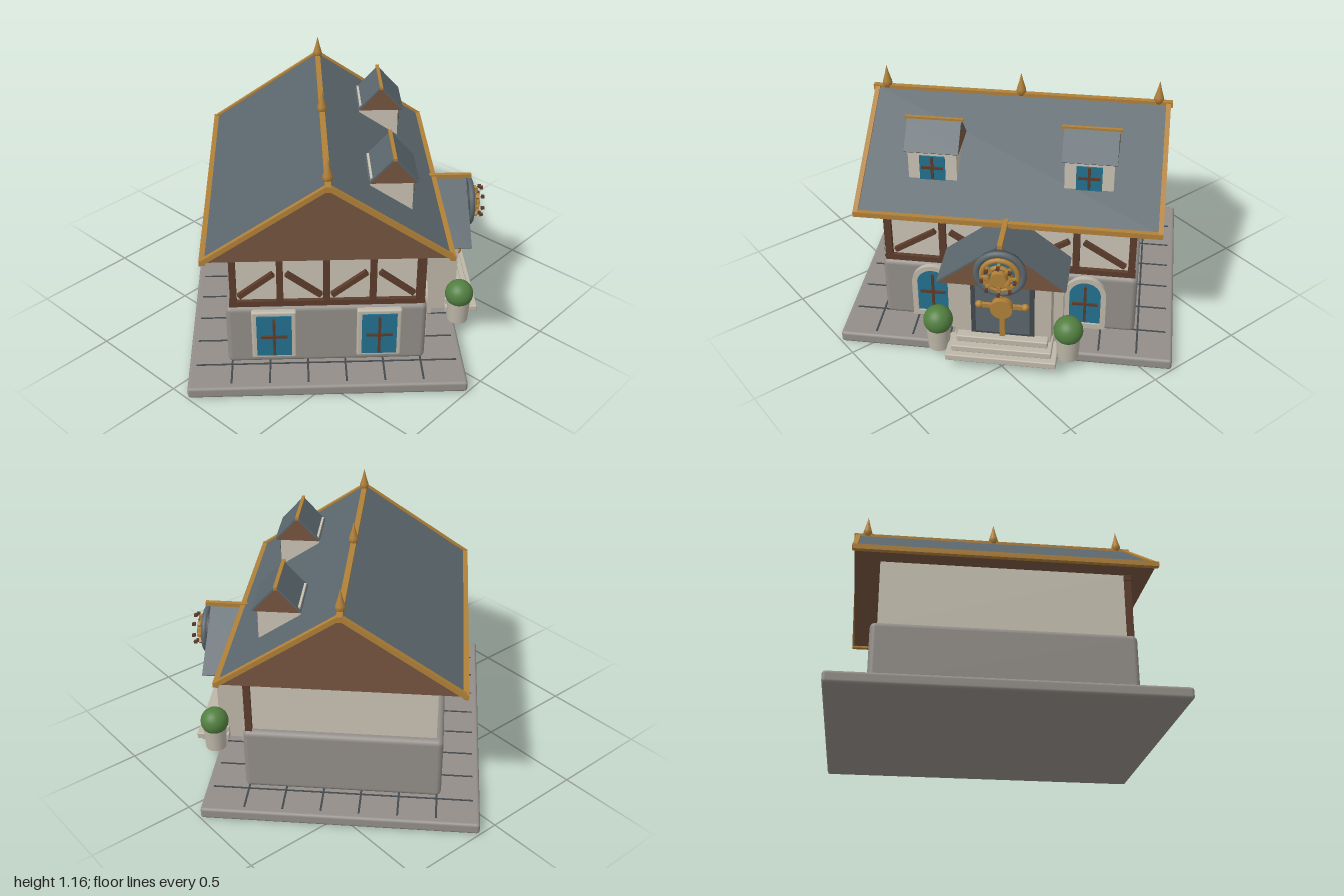
import * as THREE from 'three';
import { RoundedBoxGeometry } from 'three/addons/geometries/RoundedBoxGeometry.js';

const mat = (name, color) => {
  const m = new THREE.MeshStandardMaterial({ color });
  m.name = name;
  return m;
};

export function createModel() {
  const stone = mat('grey stone', 0x928d88), plaster = mat('plaster', 0xc8c2b2), trim = mat('light stone', 0xbdb6a8);
  const timber = mat('dark timber', 0x5c3c2c), brown = mat('gable brown', 0x75543f), slate = mat('roof slate', 0x5a666c);
  const gold = mat('gold', 0xb08038), glass = mat('blue glass', 0x24708f), green = mat('leaf green', 0x527f40);
  const dark = mat('dark slate', 0x41484c);

  const model = new THREE.Group();
  model.name = 'cottage';
  const house = new THREE.Group();
  house.name = 'house';
  house.rotation.y = Math.PI / 4; // the house stands diagonally
  model.add(house);

  const add = (name, geo, m, x = 0, y = 0, z = 0, parent = house) => {
    const o = new THREE.Mesh(geo, m);
    o.name = name;
    o.position.set(x, y, z);
    parent.add(o);
    return o;
  };
  const group = (name, x, y, z, ry = 0, parent = house) => {
    const g = new THREE.Group();
    g.name = name;
    g.position.set(x, y, z);
    g.rotation.y = ry;
    parent.add(g);
    return g;
  };
  const box = (name, m, w, h, d, x, y, z, parent) => add(name, new THREE.BoxGeometry(w, h, d), m, x, y, z, parent);
  const rbox = (name, m, w, h, d, r, x, y, z, parent) => add(name, new RoundedBoxGeometry(w, h, d, 3, r), m, x, y, z, parent);
  const disc = (name, m, r, d, x, y, z, parent) =>
    add(name, new THREE.CylinderGeometry(r, r, d, 32).rotateX(Math.PI / 2), m, x, y, z, parent);
  // square beam between two points
  const beam = (name, m, a, b, t, parent = house) => {
    const p = new THREE.Vector3(...a), q = new THREE.Vector3(...b);
    const o = add(name, new THREE.BoxGeometry(t, t, p.distanceTo(q)), m, 0, 0, 0, parent);
    o.position.copy(p).add(q).multiplyScalar(0.5);
    const target = parent.worldToLocal ? q.clone().sub(p).normalize() : q;
    o.quaternion.setFromRotationMatrix(new THREE.Matrix4().lookAt(target, new THREE.Vector3(), new THREE.Vector3(0.01, 1, 0.02)));
    return o;
  };
  // gabled roof, ridge along z: brown prism with two slate slopes
  const gableRoof = (name, half, rise, len, g) => {
    const tri = new THREE.Shape([[-half, 0], [half, 0], [0, rise]].map(p => new THREE.Vector2(...p)));
    add(name + 'Gables', new THREE.ExtrudeGeometry(tri, { depth: len, bevelEnabled: false }).translate(0, 0, -len / 2), brown, 0, 0, 0, g);
    const a = Math.atan2(rise, half), L = Math.hypot(half, rise), t = 0.008;
    for (const s of [-1, 1]) {
      const slope = box(name + 'Slope', slate, L, t, len,
        s * (half / 2 + Math.sin(a) * t / 2), rise / 2 + Math.cos(a) * t / 2, 0, g);
      slope.rotation.z = -s * a;
    }
  };

  // paved base with joints
  rbox('base', stone, 1.556, 0.055, 1.273, 0.014, 0, 0.0275, 0);
  for (let i = -3.5; i <= 3.5; i++) box('pavingJoint', dark, 0.009, 0.004, 1.21, i * 0.175, 0.055, 0);
  for (let i = -2.5; i <= 2.5; i++) box('pavingJoint', dark, 1.49, 0.004, 0.009, 0, 0.055, i * 0.175);

  // storeys
  rbox('groundFloor', stone, 1.194, 0.315, 0.914, 0.025, 0, 0.21, 0);
  box('upperFloor', plaster, 1.13, 0.32, 0.85, 0, 0.525, 0);

  // timber frame on the front and the right-hand side
  const yLow = 0.38, yHigh = 0.662;
  box('frontSill', timber, 1.17, 0.028, 0.03, 0, yLow, 0.43);
  box('frontPlate', timber, 1.17, 0.028, 0.03, 0, yHigh, 0.43);
  box('sideSill', timber, 0.03, 0.028, 0.88, -0.57, yLow, 0);
  box('sidePlate', timber, 0.03, 0.028, 0.88, -0.57, yHigh, 0);
  for (const x of [-0.565, -0.31, 0.31, 0.565]) box('frontPost', timber, 0.032, 0.3, 0.032, x, 0.522, 0.43);
  for (const s of [-1, 1]) {
    beam('frontBrace', timber, [s * 0.535, 0.42, 0.432], [s * 0.345, 0.54, 0.432], 0.024);
    beam('frontBrace', timber, [s * 0.275, 0.54, 0.432], [s * 0.085, 0.42, 0.432], 0.024);
  }
  for (let i = -2; i <= 2; i++) box('sidePost', timber, 0.032, 0.3, 0.03, -0.57, 0.522, i * 0.21);
  for (const c of [-0.21, 0.21]) for (const s of [-1, 1])
    beam('sideBrace', timber, [-0.575, 0.42, c + s * 0.185], [-0.575, 0.54, c + s * 0.03], 0.024);

  // main roof with gold edging
  const roof = group('mainRoof', 0, 0.68, 0, Math.PI / 2);
  gableRoof('mainRoof', 0.535, 0.36, 1.36, roof);
  for (const s of [-1, 1]) {
    beam('eaveTrim', gold, [s * 0.54, 0.002, -0.69], [s * 0.54, 0.002, 0.69], 0.024, roof);
    for (const e of [-1, 1]) beam('vergeTrim', gold, [s * 0.545, 0, e * 0.68], [0, 0.365, e * 0.68], 0.022, roof);
  }
  beam('ridgeTrim', gold, [0, 0.363, -0.7], [0, 0.363, 0.7], 0.026, roof);
  const finial = [[0, 0], [0.016, 0], [0.023, 0.02], [0.021, 0.032], [0.011, 0.065], [0, 0.112]].map(p => new THREE.Vector2(...p));
  for (const x of [-0.635, 0, 0.635]) add('finial', new THREE.LatheGeometry(finial, 16), gold, x, 1.045, 0);

  // window glazing bars, shared by all windows
  const bars = (w, h, y, z, g) => {
    box('mullion', timber, 0.012, h, 0.014, 0, y, z, g);
    box('transom', timber, w, 0.012, 0.014, 0, y, z, g);
  };

  // dormers
  for (const x of [-0.352, 0.352]) {
    const d = group('dormer', x, 0, 0);
    box('dormerWalls', plaster, 0.22, 0.18, 0.19, 0, 0.858, 0.288, d).position.y = 0.868 - 0.0;
    const top = group('dormerRoof', 0, 0.935, 0.297, Math.PI / 2, d);
    gableRoof('dormerRoof', 0.104, 0.115, 0.245, top);
    box('dormerRidge', gold, 0.265, 0.014, 0.016, 0, 1.056, 0.297, d);
    box('dormerGlass', glass, 0.116, 0.122, 0.008, 0, 0.852, 0.385, d);
    bars(0.1, 0.11, 0.856, 0.39, d);
  }

  // arched windows beside the porch
  const arch = (w, h) => {
    const s = new THREE.Shape();
    s.moveTo(-w, 0);
    s.lineTo(w, 0);
    s.lineTo(w, h - w);
    s.absarc(0, h - w, w, 0, Math.PI, false);
    s.closePath();
    return s;
  };
  for (const x of [-0.36, 0.36]) {
    const w = group('archedWindow', x, 0.075, 0.455);
    const frame = arch(0.098, 0.29);
    frame.holes.push(new THREE.Path(arch(0.073, 0.24).getPoints(16).map(p => p.add(new THREE.Vector2(0, 0.026)))));
    add('archedFrame', new THREE.ExtrudeGeometry(frame, { depth: 0.024, bevelEnabled: false, curveSegments: 20 }), trim, 0, 0, 0, w);
    add('archedGlass', new THREE.ExtrudeGeometry(arch(0.075, 0.242), { depth: 0.008, bevelEnabled: false, curveSegments: 20 }), glass, 0, 0.025, 0.006, w);
    bars(0.12, 0.2, 0.14, 0.017, w);
  }

  // square windows on the side
  for (const z of [-0.24, 0.24]) {
    const w = group('sideWindow', -0.597, 0.225, z, -Math.PI / 2);
    rbox('sideFrame', trim, 0.205, 0.262, 0.04, 0.01, 0, 0, 0.002, w);
    box('sideGlass', glass, 0.16, 0.222, 0.009, 0, 0, 0.023, w);
    bars(0.12, 0.2, 0, 0.03, w);
  }

  // porch
  box('porchBack', trim, 0.53, 0.4, 0.1, 0, 0.255, 0.48);
  box('porchWalls', trim, 0.44, 0.4, 0.2, 0, 0.255, 0.55);
  box('door', dark, 0.29, 0.31, 0.016, 0, 0.302, 0.65);
  for (const s of [-1, 1]) box('doorLeaf', slate, 0.115, 0.27, 0.008, s * 0.066, 0.298, 0.658);
  const porch = group('porchRoof', 0, 0.455, 0.575);
  gableRoof('porchRoof', 0.285, 0.222, 0.25, porch);
  box('porchRidge', gold, 0.022, 0.02, 0.28, 0, 0.69, 0.585);

  // door ornament
  box('doorBar', gold, 0.024, 0.32, 0.02, 0, 0.315, 0.667);
  box('doorCrossbar', gold, 0.2, 0.02, 0.02, 0, 0.325, 0.667);
  for (const s of [-1, 1]) add('crossbarKnob', new THREE.SphereGeometry(0.018, 16, 12), gold, s * 0.105, 0.325, 0.667);
  disc('doorBoss', gold, 0.05, 0.035, 0, 0.325, 0.682);

  // round gear ornament in the porch gable
  const gear = group('gearOrnament', 0, 0.547, 0.7);
  disc('gearBack', dark, 0.112, 0.03, 0, 0, 0.012, gear);
  add('gearOuterRing', new THREE.TorusGeometry(0.104, 0.015, 10, 40), slate, 0, 0, 0.022, gear);
  add('gearGoldRing', new THREE.TorusGeometry(0.079, 0.012, 10, 40), gold, 0, 0, 0.032, gear);
  disc('gearGlass', glass, 0.066, 0.009, 0, 0, 0.03, gear);
  add('gearInnerRing', new THREE.TorusGeometry(0.05, 0.011, 10, 32), gold, 0, 0, 0.045, gear);
  disc('gearHub', gold, 0.036, 0.045, 0, 0, 0.05, gear);
  for (let i = 0; i < 8; i++) {
    const a = i * Math.PI / 4;
    box('gearTooth', timber, 0.014, 0.014, 0.016, 0.072 * Math.cos(a), 0.072 * Math.sin(a), 0.08, gear);
    box('gearSpoke', gold, 0.03, 0.014, 0.016, 0.06 * Math.cos(a), 0.06 * Math.sin(a), 0.055, gear).rotation.z = a;
  }

  // front steps
  [[0.51, 0.76], [0.46, 0.73], [0.42, 0.695]].forEach(([w, front], i) =>
    rbox('step', trim, w, 0.034, front - 0.6, 0.006, 0, 0.071 + i * 0.031, (front + 0.6) / 2));

  // clipped bushes in pots
  for (const s of [-1, 1]) {
    add('pot', new THREE.CylinderGeometry(0.056, 0.05, 0.115, 20), trim, s * 0.3, 0.112, 0.655);
    add('bush', new THREE.SphereGeometry(0.068, 28, 20), green, s * 0.3, 0.205, 0.655);
  }
  return model;
}
